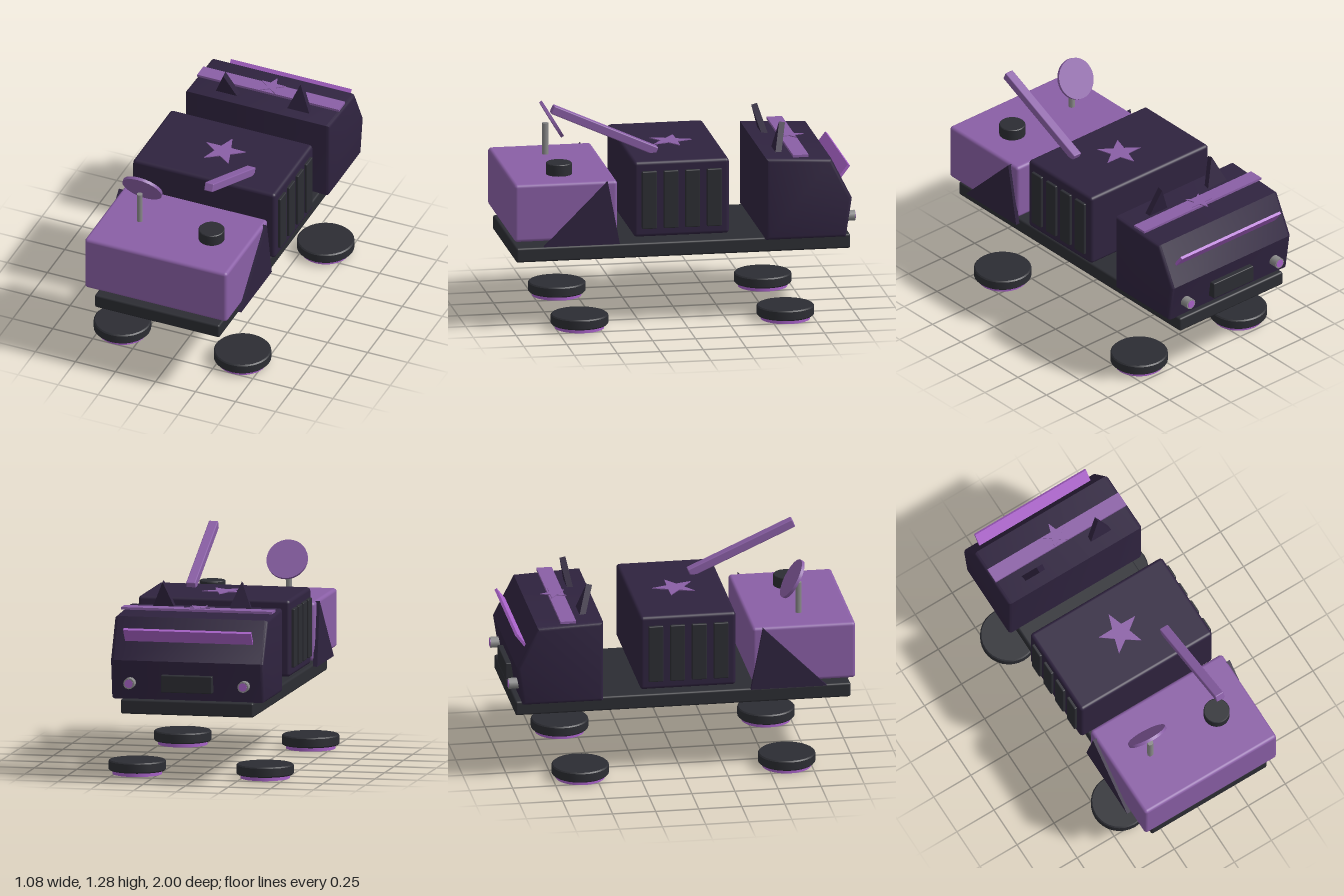
import * as THREE from 'three';
import { toCreasedNormals } from 'three/addons/utils/BufferGeometryUtils.js';
import { RoundedBoxGeometry } from 'three/addons/geometries/RoundedBoxGeometry.js';

const material = (name, color) => {
  const m = new THREE.MeshStandardMaterial({ color });
  m.name = name;
  return m;
};

export function createModel() {
  const darkPurple = material('dark purple', 0x2f233f);
  const purple = material('purple', 0x8a5fa6);
  const violet = material('bright violet', 0xa862c8);
  const charcoal = material('charcoal', 0x2c2d33);
  const grey = material('metal grey', 0x8a8a8a);

  const model = new THREE.Group();
  model.name = 'vehicle';

  const add = (name, geometry, mat, x = 0, y = 0, z = 0) => {
    const mesh = new THREE.Mesh(geometry, mat);
    mesh.name = name;
    mesh.position.set(x, y, z);
    model.add(mesh);
    return mesh;
  };
  const rounded = (w, h, d, r = 0.02) => new RoundedBoxGeometry(w, h, d, 3, r);

  // Extrude a (z, y) side profile across x, centred, with an optional bevel
  const sideExtrude = (points, width, bevel = 0) => {
    const shape = new THREE.Shape(points.map(([z, y]) => new THREE.Vector2(z, y)));
    const g = new THREE.ExtrudeGeometry(shape, {
      depth: width - 2 * bevel, bevelEnabled: bevel > 0, bevelSize: bevel,
      bevelThickness: bevel, bevelOffset: -bevel, bevelSegments: 3,
    });
    g.translate(0, 0, -(width - 2 * bevel) / 2);
    g.rotateY(-Math.PI / 2);
    return toCreasedNormals(g, 0.6);
  };

  // Flat five-pointed star lying on the roof, tip towards -z
  const star = (radius) => {
    const shape = new THREE.Shape();
    for (let i = 0; i < 10; i++) {
      const r = i % 2 ? radius * 0.4 : radius;
      const a = Math.PI / 2 + (i * Math.PI) / 5;
      shape[i ? 'lineTo' : 'moveTo'](r * Math.cos(a), r * Math.sin(a));
    }
    const g = new THREE.ExtrudeGeometry(shape, { depth: 0.005, bevelEnabled: false });
    return g.rotateX(-Math.PI / 2);
  };

  // Disc with slightly chamfered rims, standing on its base
  const disc = (r, h, b) => toCreasedNormals(new THREE.LatheGeometry(
    [[0, 0], [r - b, 0], [r, b], [r, h - b], [r - b, h], [0, h]]
      .map(([x, y]) => new THREE.Vector2(x, y)), 32), 0.5);

  // Main bodies
  add('chassis', rounded(0.78, 0.085, 1.945, 0.012), charcoal, 0, 0.4425, 0.0075);
  add('frontBox', rounded(0.89, 0.34, 0.6), purple, 0, 0.705, 0.7);
  add('middleBox', rounded(0.89, 0.445, 0.555), darkPurple, 0, 0.7575, 0.0275);
  add('cab', sideExtrude([
    [-0.465, 0.482], [-0.465, 0.965], [-0.845, 0.948], [-0.965, 0.71], [-0.93, 0.482],
  ].reverse(), 0.9, 0.02), darkPurple);

  // Side vents and triangular fenders
  for (const side of [-1, 1]) {
    for (let i = 0; i < 4; i++) {
      add('sideVent', rounded(0.03, 0.34, 0.086, 0.006), charcoal,
        side * 0.447, 0.755, 0.217 - i * 0.126);
    }
    add('fender', sideExtrude([[0.83, 0.505], [0.39, 0.505], [0.46, 0.875]].reverse(), 0.025),
      darkPurple, side * 0.45);
  }

  // Wheels lying flat below the chassis
  for (const x of [-0.375, 0.375]) {
    for (const z of [0.61, -0.588]) {
      add('wheelHub', new THREE.CylinderGeometry(0.142, 0.142, 0.03, 32), violet, x, 0.015, z);
      add('tire', disc(0.165, 0.06, 0.007), charcoal, x, 0.022, z);
    }
  }

  // Roof decoration
  add('roofStar', star(0.13), purple, 0, 0.981, 0.02);
  add('cabStripe', new THREE.BoxGeometry(0.885, 0.014, 0.09), purple, 0, 0.973, -0.667);
  add('cabStar', star(0.08), purple, 0, 0.985, -0.68);

  // Ears: flat triangles, one leaning forward and one backward
  const earShape = new THREE.Shape([[-0.07, 0], [0.07, 0], [0, 0.17]]
    .map(([x, y]) => new THREE.Vector2(x, y)));
  for (const [x, tilt] of [[-0.225, 0.3], [0.222, -0.2]]) {
    const g = new THREE.ExtrudeGeometry(earShape, { depth: 0.035, bevelEnabled: false });
    g.translate(0, 0, -0.0175);
    add('ear', g, darkPurple, x, 0.955, -0.562).rotation.x = tilt;
  }

  // Inclined boom
  add('boom', rounded(0.055, 0.05, 0.665, 0.006), purple, 0.222, 1.122, 0.44)
    .rotation.x = -0.425;

  // Dish on its mast, and the turret
  add('mast', new THREE.CylinderGeometry(0.018, 0.018, 0.2, 8), grey, -0.227, 0.96, 0.703);
  add('dish', new THREE.CylinderGeometry(0.12, 0.12, 0.018, 32), purple, -0.225, 1.08, 0.667)
    .rotation.x = -1.035;
  add('turret', disc(0.075, 0.075, 0.004), charcoal, 0.222, 0.867, 0.703);

  // Cab end: visor plate, grille and lamps
  add('visor', new THREE.BoxGeometry(0.75, 0.095, 0.016), violet, 0, 0.852, -0.93)
    .rotation.x = -0.65;
  add('grille', rounded(0.3, 0.1, 0.05, 0.006), charcoal, 0, 0.583, -0.96);
  for (const x of [-0.335, 0.335]) {
    add('lamp', new THREE.CylinderGeometry(0.032, 0.032, 0.07, 12), grey, x, 0.58, -0.963)
      .rotation.x = Math.PI / 2;
    add('lampLens', new THREE.CylinderGeometry(0.024, 0.024, 0.005, 16), violet, x, 0.58, -0.9985)
      .rotation.x = Math.PI / 2;
  }

  return model;
}
